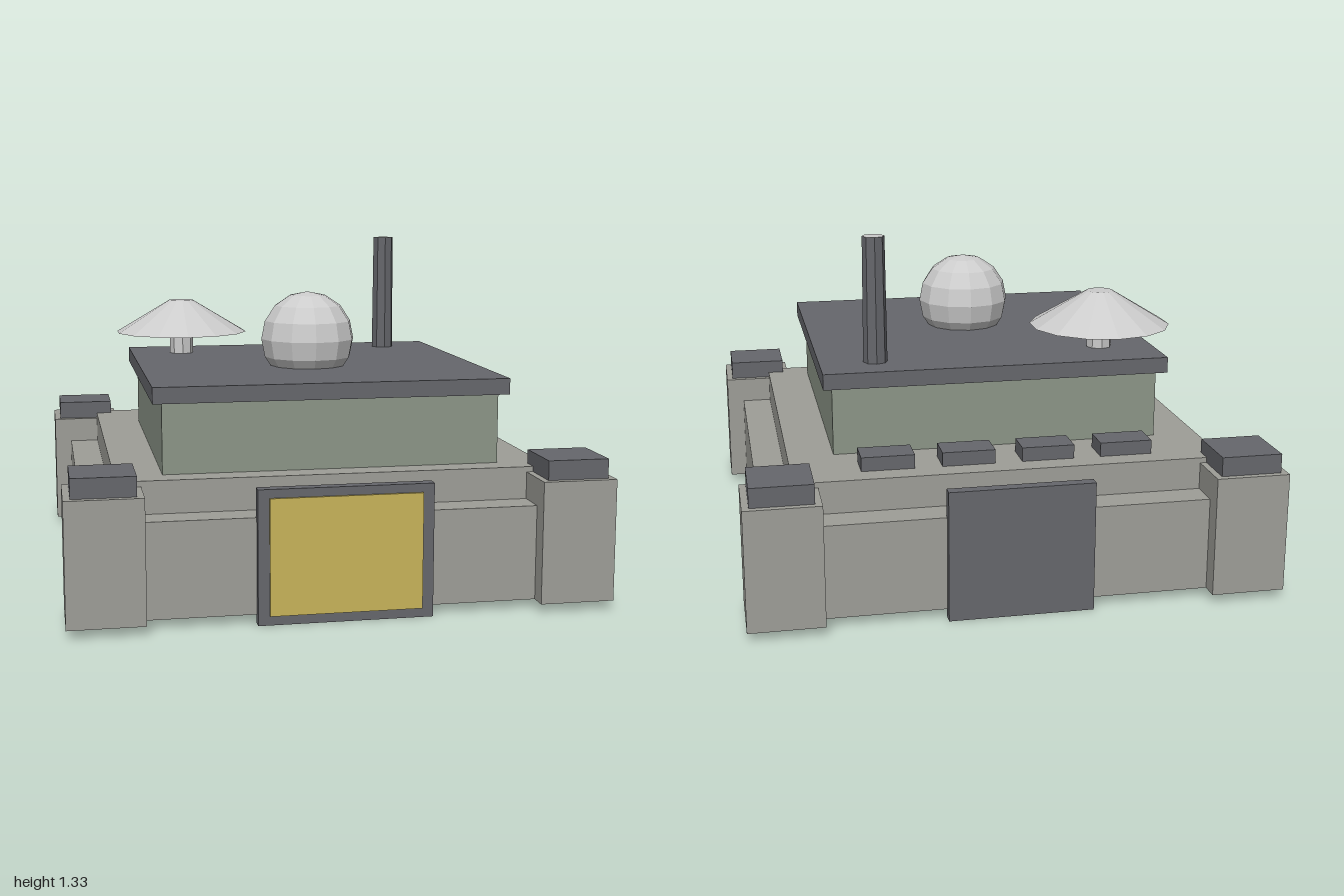
import * as THREE from 'three';

export function createModel() {
  const root = new THREE.Group();
  const mat = (color) => new THREE.MeshStandardMaterial({ color, flatShading: true });
  const stone = mat(0x9e9e98), green = mat(0x8c9688), dark = mat(0x66676c);
  const yellow = mat(0xc8b45a), metal = mat(0xc4c4c4);

  const add = (name, geo, material, x, y, z) => {
    const mesh = new THREE.Mesh(geo, material);
    mesh.name = name;
    mesh.position.set(x, y, z);
    root.add(mesh);
    return mesh;
  };
  // Box given by its extents on each axis
  const box = (name, material, [x0, x1], [y0, y1], [z0, z1]) =>
    add(name, new THREE.BoxGeometry(x1 - x0, y1 - y0, z1 - z0), material,
      (x0 + x1) / 2, (y0 + y1) / 2, (z0 + z1) / 2);
  // Upright cylinder or cone standing at y0
  const column = (name, material, rTop, rBottom, y0, y1, sides, x, z) =>
    add(name, new THREE.CylinderGeometry(rTop, rBottom, y1 - y0, sides), material, x, (y0 + y1) / 2, z);

  // Stepped base
  box('baseWall', stone, [-0.93, 0.93], [0.035, 0.39], [-0.93, 0.93]);
  box('upperTerrace', stone, [-0.81, 0.81], [0.39, 0.512], [-0.81, 0.81]);

  // Corner towers with caps
  for (const sx of [-1, 1]) for (const sz of [-1, 1]) {
    const x = 0.86 * sx, z = 0.86 * sz;
    box('cornerTower', stone, [x - 0.14, x + 0.14], [0.035, 0.492], [z - 0.14, z + 0.14]);
    box('towerCap', dark, [x - 0.115, x + 0.115], [0.492, 0.565], [z - 0.115, z + 0.115]);
  }

  // Main building and roof slab
  box('buildingWalls', green, [-0.635, 0.635], [0.512, 0.777], [-0.505, 0.713]);
  box('roofSlab', dark, [-0.67, 0.67], [0.777, 0.838], [-0.543, 0.745]);

  // Front gate, and rear gate with its panel on the inner side
  box('frontGateFrame', dark, [-0.322, 0.322], [0, 0.496], [0.912, 0.957]);
  box('frontGatePanel', yellow, [-0.28, 0.28], [0.035, 0.464], [0.93, 0.966]);
  box('rearGateFrame', dark, [-0.272, 0.272], [0, 0.496], [-0.962, -0.919]);
  box('rearGatePanel', yellow, [-0.235, 0.235], [0.035, 0.464], [-0.945, -0.914]);

  // Row of vents on the rear terrace
  for (let i = 0; i < 4; i++) {
    const x = (i - 1.5) * 0.303;
    box('rearVent', dark, [x - 0.1, x + 0.1], [0.512, 0.565], [-0.722, -0.6]);
  }

  // Dome ball on the roof
  add('domeBall', new THREE.SphereGeometry(0.188, 12, 8), metal, 0, 0.945, 0.2);

  // Dish on its stem
  column('dishStem', metal, 0.05, 0.05, 0.838, 0.94, 8, -0.457, -0.308);
  column('dish', metal, 0.052, 0.278, 0.93, 1.065, 14, -0.457, -0.308);

  // Mast with a pale top
  const mast = column('mast', dark, 0.043, 0.047, 0.838, 1.325, 8, 0.453, -0.382);
  mast.material = [dark, metal, dark];

  return root;
}
